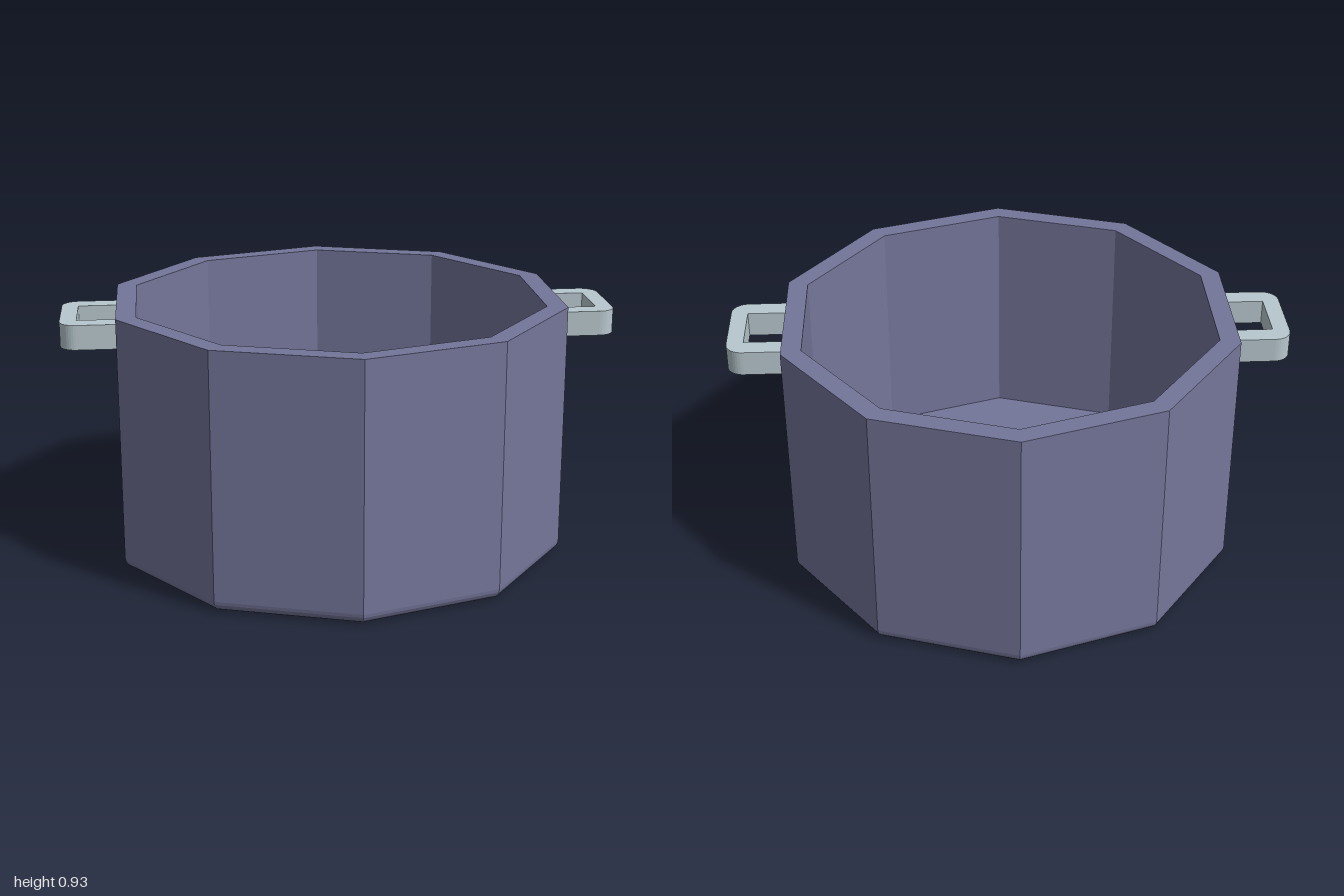
import * as THREE from 'three';

const SIDES = 10, HEIGHT = 0.93, OUTER = 0.84, INNER = 0.765, BEVEL = 0.04, FLOOR = 0.08;

function addMesh(parent, name, geometry, color) {
  const flat = geometry.index ? geometry.toNonIndexed() : geometry;
  flat.computeVertexNormals();
  const mesh = new THREE.Mesh(flat, new THREE.MeshStandardMaterial({ color, flatShading: true }));
  mesh.name = name;
  parent.add(mesh);
  return mesh;
}

// Ten-sided hollow vessel with a rounded bottom edge
function potGeometry() {
  const profile = [new THREE.Vector2(0, 0)];
  const steps = 5;
  for (let i = 0; i <= steps; i++) {
    const a = (i / steps) * Math.PI / 2;
    profile.push(new THREE.Vector2(OUTER - BEVEL + BEVEL * Math.sin(a), BEVEL - BEVEL * Math.cos(a)));
  }
  profile.push(
    new THREE.Vector2(OUTER, HEIGHT),
    new THREE.Vector2(INNER, HEIGHT),
    new THREE.Vector2(INNER, FLOOR),
    new THREE.Vector2(0, FLOOR)
  );
  return new THREE.LatheGeometry(profile, SIDES);
}

// Flat U-shaped bar with rounded outer corners and square inner ones
function handleGeometry() {
  const root = 0.76, tip = 1, half = 0.174, r = 0.06, innerTip = 0.94, innerHalf = 0.102;
  const shape = new THREE.Shape();
  shape.moveTo(root, -half);
  shape.lineTo(tip - r, -half);
  shape.absarc(tip - r, -half + r, r, -Math.PI / 2, 0);
  shape.lineTo(tip, half - r);
  shape.absarc(tip - r, half - r, r, 0, Math.PI / 2);
  shape.lineTo(root, half);
  shape.lineTo(root, innerHalf);
  shape.lineTo(innerTip, innerHalf);
  shape.lineTo(innerTip, -innerHalf);
  shape.lineTo(root, -innerHalf);
  shape.closePath();
  const geometry = new THREE.ExtrudeGeometry(shape, { depth: 0.09, bevelEnabled: false, curveSegments: 5 });
  return geometry.rotateX(-Math.PI / 2).translate(0, 0.8, 0);
}

export function createModel() {
  const model = new THREE.Group();
  model.name = 'cookingPot';
  addMesh(model, 'potBody', potGeometry(), 0x74769a);

  // One handle on each side
  addMesh(model, 'leftHandle', handleGeometry(), 0xb8c8ce);
  addMesh(model, 'rightHandle', handleGeometry(), 0xb8c8ce).rotation.y = Math.PI;
  return model;
}
